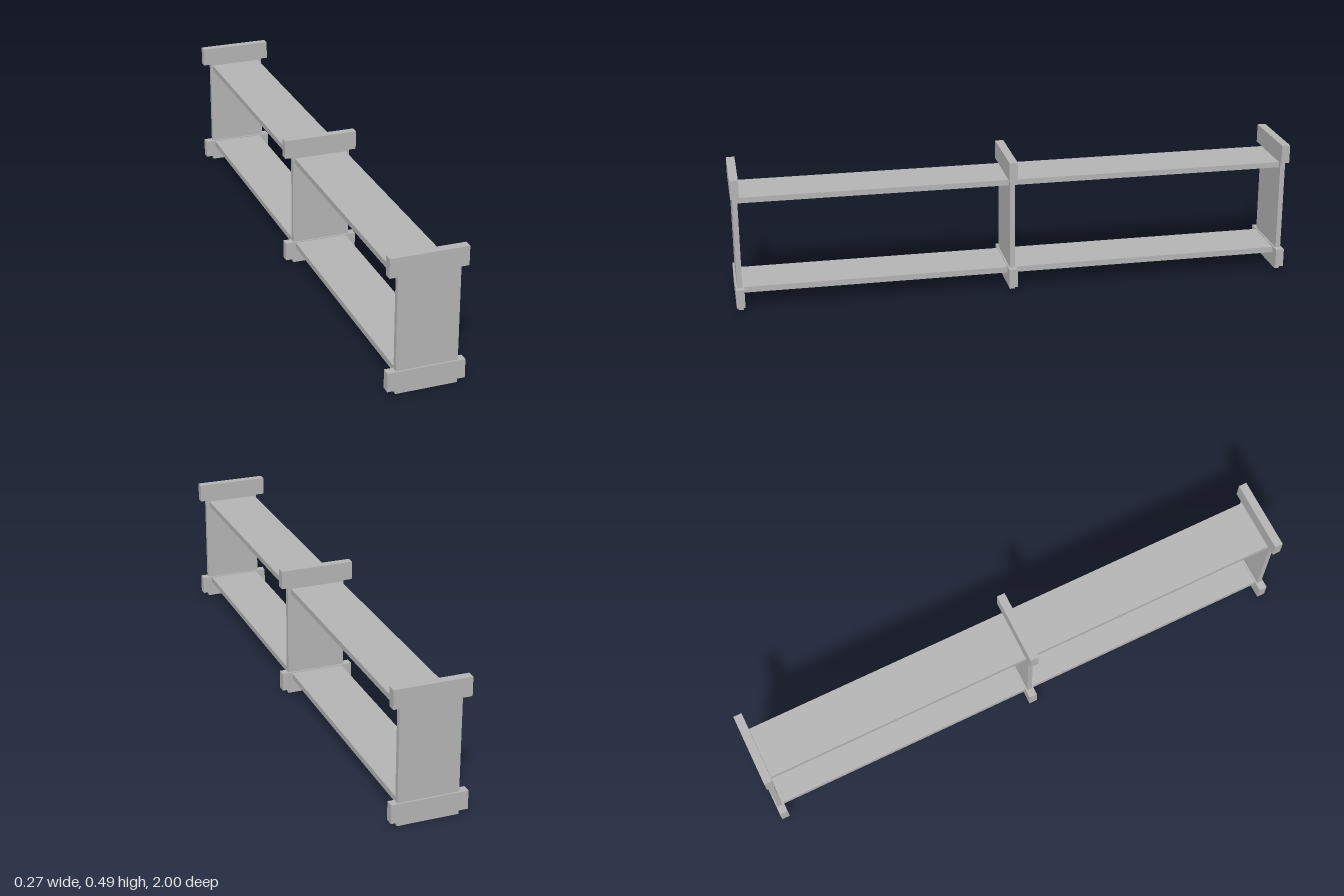
import * as THREE from 'three';

export function createModel() {
  const model = new THREE.Group();
  model.name = 'lowShelf';
  const grey = new THREE.MeshStandardMaterial({ color: 0xb4b4b4 });
  grey.name = 'grey';

  // Box given by its extents along x, y and z
  function box(name, [x0, x1], [y0, y1], [z0, z1], parent) {
    const mesh = new THREE.Mesh(new THREE.BoxGeometry(x1 - x0, y1 - y0, z1 - z0), grey);
    mesh.position.set((x0 + x1) / 2, (y0 + y1) / 2, (z0 + z1) / 2);
    mesh.name = name;
    parent.add(mesh);
  }

  // Upright frames: a thin panel clamped by a wide bar above and below
  const frames = { frontFrame: 0.985, middleFrame: 0.017, backFrame: -0.985 };
  for (const [name, z] of Object.entries(frames)) {
    const frame = new THREE.Group();
    frame.name = name;
    frame.position.z = z;
    box('panel', [-0.104, 0.109], [0, 0.43], [-0.009, 0.009], frame);
    box('upperBar', [-0.134, 0.133], [0.418, 0.485], [-0.015, 0.015], frame);
    box('lowerBar', [-0.134, 0.133], [0.016, 0.083], [-0.015, 0.015], frame);
    model.add(frame);
  }

  // Long boards running between the frames
  box('upperShelf', [-0.096, 0.096], [0.391, 0.411], [-0.985, 0.985], model);
  box('lowerShelf', [-0.096, 0.096], [0.059, 0.08], [-0.985, 0.985], model);

  return model;
}
